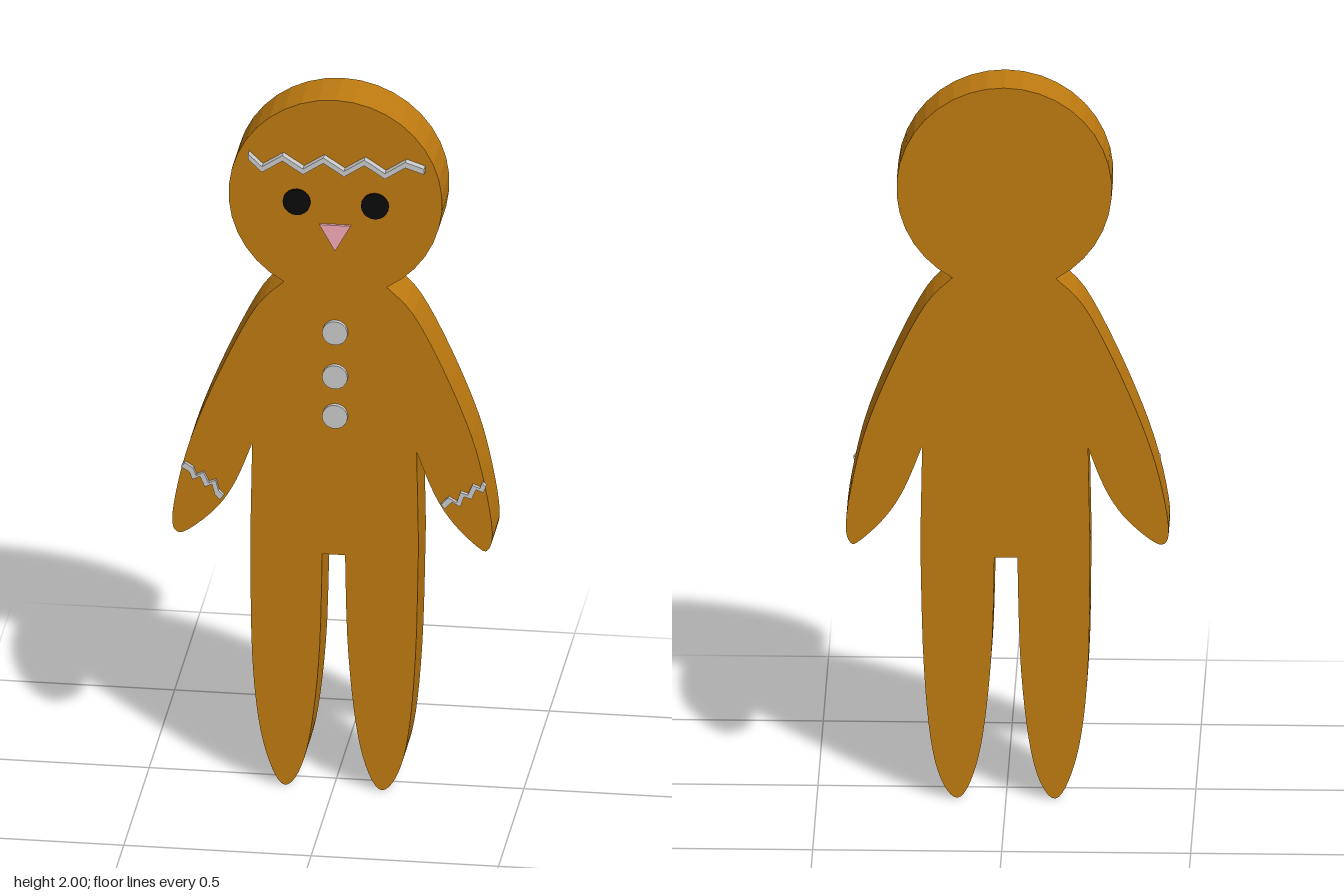
import * as THREE from 'three';

const FRONT = 0.06, BACK = -0.085;
const v2 = ([x, y]) => new THREE.Vector2(x, y);
const mat = (color) => new THREE.MeshStandardMaterial({ color });

// Flat plate between two depths
function plate(name, points, z0, z1, material) {
  const geo = new THREE.ExtrudeGeometry(new THREE.Shape(points), {
    depth: z1 - z0, bevelEnabled: false,
  });
  geo.translate(0, 0, z0);
  const mesh = new THREE.Mesh(geo, material);
  mesh.name = name;
  return mesh;
}

// Smooth run of outline points between two sharp corners
const run = (pts, n) => new THREE.SplineCurve(pts.map(v2)).getPoints(n);

// Zigzag strip of icing, widened along (ox, oy)
function icing(name, pts, ox, oy, top, material) {
  const a = pts.map(([x, y]) => v2([x + ox, y + oy]));
  const b = pts.map(([x, y]) => v2([x - ox, y - oy])).reverse();
  return plate(name, [...a, ...b], FRONT - 0.005, top, material);
}

// Round disc facing the front
function disc(name, x, y, r, top, material) {
  const geo = new THREE.CylinderGeometry(r, r, top - FRONT + 0.005, 20);
  geo.rotateX(Math.PI / 2);
  const mesh = new THREE.Mesh(geo, material);
  mesh.position.set(x, y, (top + FRONT - 0.005) / 2);
  mesh.name = name;
  return mesh;
}

export function createModel() {
  const model = new THREE.Group();
  model.name = 'gingerbreadFigure';
  const dough = mat(0xbf7b10), white = mat(0xcccccc), black = mat(0x0a0a0a), pink = mat(0xf5acb8);

  // Body outline: head arc, then arm, legs and arm, counter-clockwise
  const cx = 0.005, cy = 1.715, r = 0.285, neck = 1.069;
  const outline = [];
  for (let i = 0; i <= 32; i++) {
    const a = -neck + (Math.PI + 2 * neck) * i / 32;
    outline.push(v2([cx + r * Math.cos(a), cy + r * Math.sin(a)]));
  }
  const rightArm = run([[-0.132, 1.465], [-0.205, 1.39], [-0.285, 1.235], [-0.36, 1.055], [-0.405, 0.91],
    [-0.43, 0.77], [-0.418, 0.722], [-0.38, 0.735], [-0.31, 0.80], [-0.26, 0.88], [-0.217, 0.99]], 40);
  const rightLeg = run([[-0.222, 0.72], [-0.218, 0.40], [-0.2, 0.19], [-0.168, 0.06], [-0.13, 0.003],
    [-0.09, 0.05], [-0.06, 0.17], [-0.038, 0.39], [-0.03, 0.68]], 36);
  const leftLeg = run([[0.031, 0.68], [0.038, 0.42], [0.06, 0.19], [0.09, 0.06], [0.128, 0.003],
    [0.17, 0.05], [0.2, 0.17], [0.219, 0.40], [0.227, 0.72]], 36);
  const leftArm = run([[0.222, 0.99], [0.27, 0.87], [0.32, 0.79], [0.385, 0.725], [0.412, 0.718],
    [0.424, 0.77], [0.405, 0.90], [0.367, 1.05], [0.293, 1.235], [0.213, 1.39], [0.142, 1.465]], 40);
  outline.push(...rightArm.slice(1), ...rightLeg, ...leftLeg, ...leftArm.slice(0, -1));
  model.add(plate('body', outline, BACK, FRONT, dough));

  // Face
  for (const [name, x] of [['rightEye', -0.098], ['leftEye', 0.111]]) {
    model.add(disc(name, x, 1.7, 0.037, 0.066, black));
  }
  model.add(plate('nose', [[-0.037, 1.64], [0.005, 1.565], [0.047, 1.64]].map(v2), FRONT - 0.005, 0.068, pink));

  // Icing zigzag across the forehead
  const hair = [[-0.225, 1.832]];
  for (let i = 0; i < 8; i++) hair.push([-0.188 + i * 0.0547, i % 2 ? 1.833 : 1.797]);
  hair.push([0.245, 1.816]);
  model.add(icing('foreheadIcing', hair, 0, 0.008, 0.082, white));

  // Icing cuffs
  model.add(icing('rightCuff', [[-0.4, 0.922], [-0.378, 0.908], [-0.37, 0.886], [-0.35, 0.897], [-0.337, 0.867],
    [-0.318, 0.876], [-0.31, 0.846], [-0.297, 0.832]], 0.005, 0.006, 0.072, white));
  model.add(icing('leftCuff', [[0.293, 0.842], [0.313, 0.863], [0.335, 0.85], [0.345, 0.88], [0.365, 0.874],
    [0.377, 0.903], [0.397, 0.895], [0.403, 0.912]], -0.005, 0.006, 0.072, white));

  // Buttons
  for (const y of [1.328, 1.2, 1.085]) model.add(disc('button', 0.005, y, 0.034, 0.072, white));

  return model;
}
